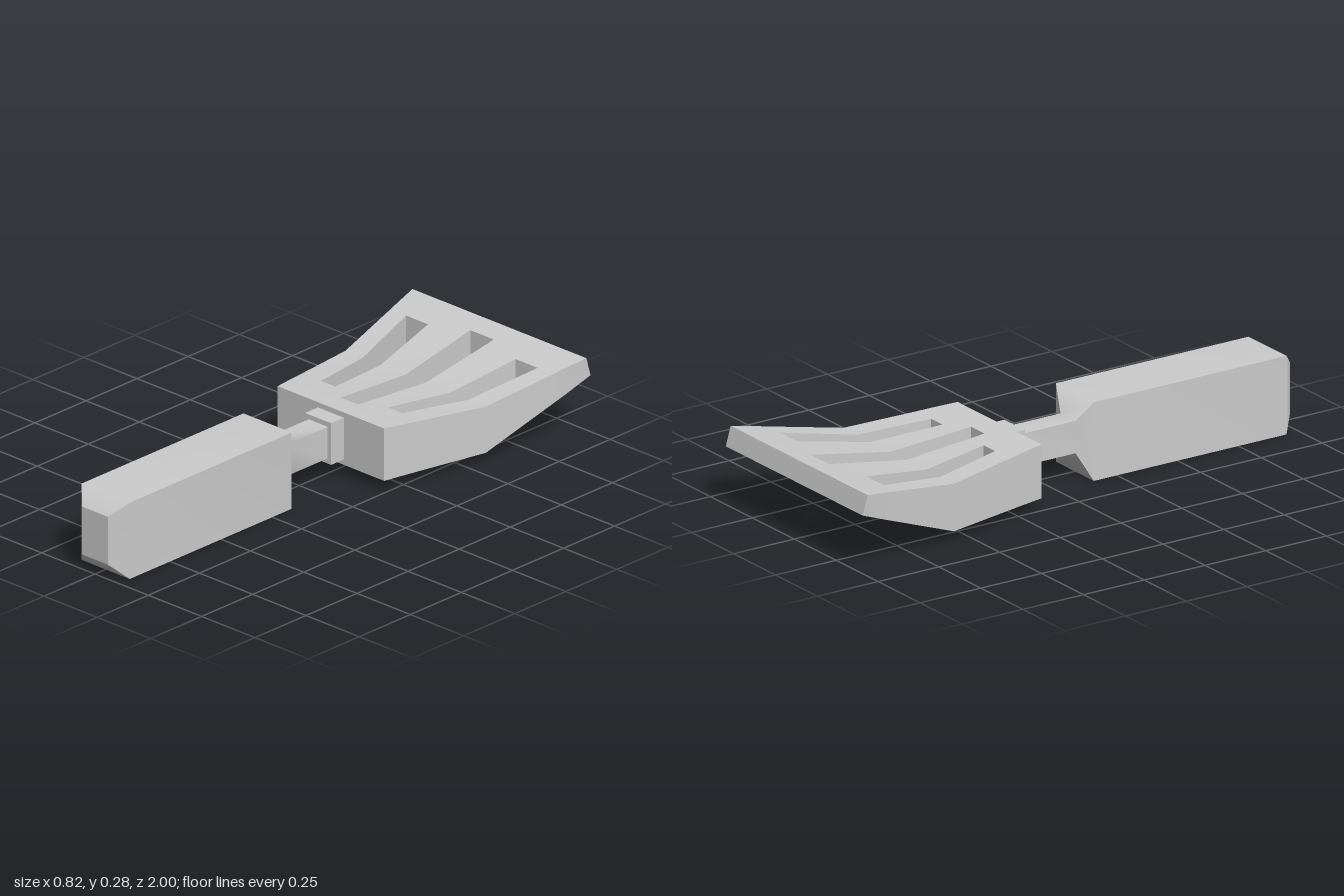
import * as THREE from 'three';
import { mergeGeometries } from 'three/addons/utils/BufferGeometryUtils.js';

const material = new THREE.MeshStandardMaterial({ color: 0xcccccc });

// Quad surface over rows of points, facing (column direction) x (row direction)
function patch(rows, isHole = () => false) {
  const n = rows[0].length, index = [];
  for (let r = 0; r < rows.length - 1; r++) {
    for (let c = 0; c < n - 1; c++) {
      if (isHole(r, c)) continue;
      const a = r * n + c, b = a + 1, d = a + n, e = d + 1;
      index.push(a, b, e, a, e, d);
    }
  }
  const g = new THREE.BufferGeometry();
  g.setAttribute('position', new THREE.Float32BufferAttribute(rows.flat(2), 3));
  g.setIndex(index);
  g.computeVertexNormals();
  return g;
}

function addMesh(group, name, geometry) {
  const mesh = new THREE.Mesh(geometry, material);
  mesh.name = name;
  group.add(mesh);
  return mesh;
}

// Rectangular sections [z, half width, bottom, top] joined from front to back
function loft(sections) {
  const rings = sections.map(([z, w, b, t]) => [[-w, t, z], [w, t, z], [w, b, z], [-w, b, z]]);
  const parts = [0, 1, 2, 3].map(i => patch(rings.map(q => [q[i], q[(i + 1) % 4]])));
  const f = rings[0], k = rings[rings.length - 1];
  parts.push(patch([[f[3], f[2]], [f[0], f[1]]]), patch([[k[0], k[1]], [k[3], k[2]]]));
  return mergeGeometries(parts);
}

// Slotted blade: a grid whose column lines follow the edges of the slots
function bladeGeometry() {
  // rows: [z, bottom, top, z of the lower edge]
  const rows = [
    [-0.155, 0.045, 0.24], [-0.245, 0.044, 0.234], [-0.305, 0.043, 0.229], [-0.57, 0.038, 0.21],
    [-0.845, 0.148, 0.257], [-0.895, 0.168, 0.266], [-0.98, 0.21, 0.28, -1],
  ];
  // half of the column lines: x at the near and far end of the blade
  const half = [[0.038, 0.057], [0.1, 0.226], [0.157, 0.338], [0.25, 0.408]];
  const lines = [...half.map(p => p.map(x => -x)).reverse(), ...half];
  const xAt = ([p, q], z) => THREE.MathUtils.mapLinear(z, -0.155, -0.98, p, q);
  const top = rows.map(([z, , t]) => lines.map(l => [xAt(l, z), t, z]));
  const bottom = rows.map(([z, b, , zb = z]) => lines.map(l => [xAt(l, z), b, zb]));

  // slots: column, first row, last row
  const slots = [[1, 2, 4], [3, 1, 5], [5, 2, 4]];
  const isHole = (r, c) => slots.some(([s, r0, r1]) => c === s && r >= r0 && r < r1);
  const last = rows.length - 1, lastCol = lines.length - 1;
  const parts = [
    patch(top, isHole),
    patch(bottom.map(r => [...r].reverse()), (r, c) => isHole(r, lastCol - 1 - c)),
  ];
  // walls along a column line (facing +x or -x) and across a row (facing +z or -z)
  const sideWall = (c, r0, r1, plusX) => {
    const [a, b] = plusX ? [top, bottom] : [bottom, top];
    const strip = [];
    for (let r = r0; r <= r1; r++) strip.push([a[r][c], b[r][c]]);
    parts.push(patch(strip));
  };
  const endWall = (r, c0, c1, plusZ) => {
    const [a, b] = plusZ ? [bottom, top] : [top, bottom];
    parts.push(patch([a[r].slice(c0, c1 + 1), b[r].slice(c0, c1 + 1)]));
  };
  sideWall(0, 0, last, false);
  sideWall(lastCol, 0, last, true);
  endWall(0, 0, lastCol, true);
  endWall(last, 0, lastCol, false);
  for (const [c, r0, r1] of slots) {
    sideWall(c, r0, r1, true);
    sideWall(c + 1, r0, r1, false);
    endWall(r0, c, c + 1, false);
    endWall(r1, c, c + 1, true);
  }
  return mergeGeometries(parts);
}

export function createModel() {
  const group = new THREE.Group();
  group.name = 'spatula';

  // Grip with bevelled butt, tapering into the thin neck
  addMesh(group, 'handle', loft([
    [1, 0.06, 0.054, 0.232],
    [0.948, 0.113, 0, 0.284],
    [0.155, 0.113, 0, 0.284],
    [0.127, 0.045, 0.085, 0.202],
    [-0.1, 0.045, 0.085, 0.202],
  ]));

  // Collar between neck and blade
  addMesh(group, 'collar', new THREE.BoxGeometry(0.122, 0.155, 0.065)).position.set(0, 0.143, -0.125);

  addMesh(group, 'blade', bladeGeometry());
  return group;
}
